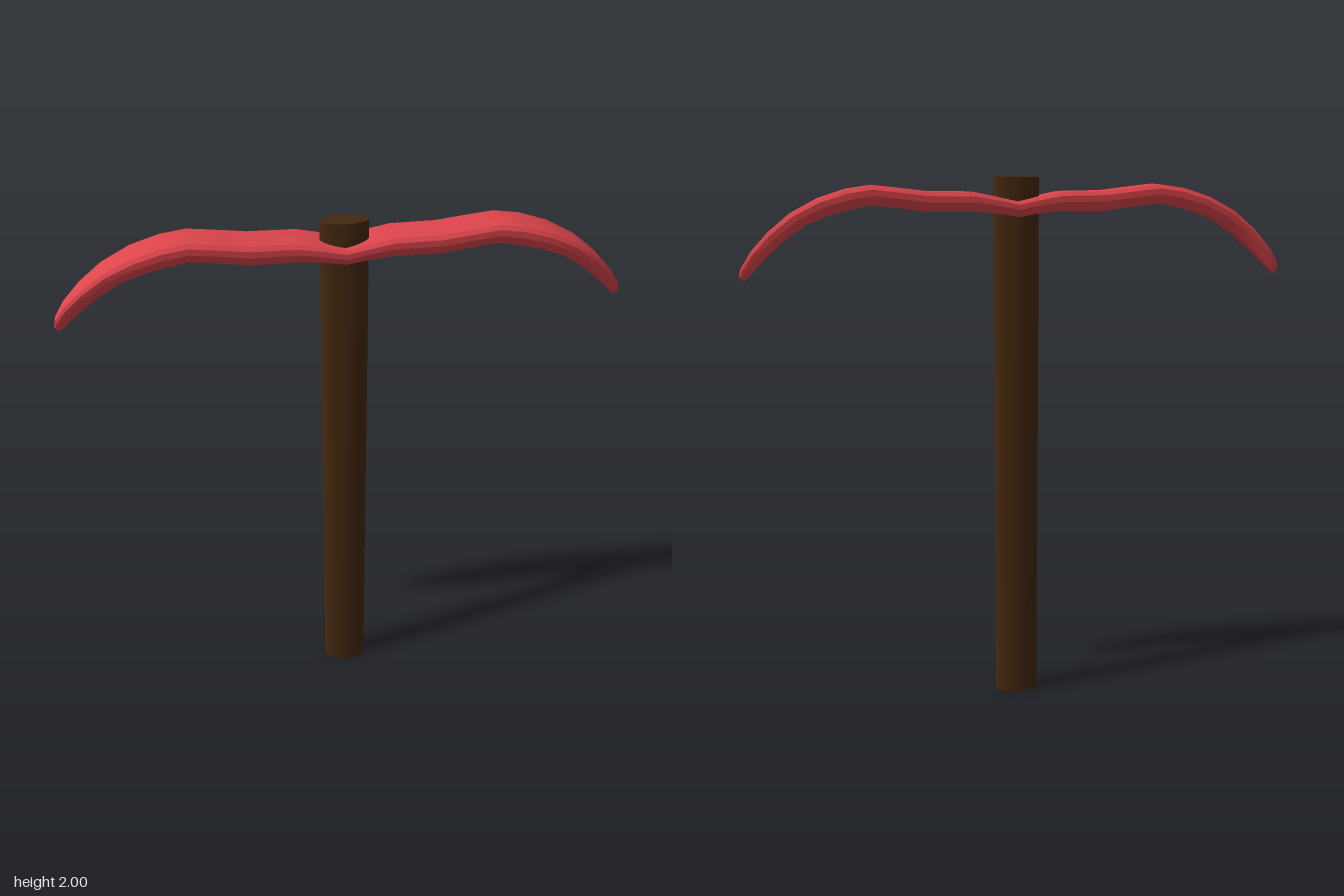
import * as THREE from 'three';
import { toCreasedNormals } from 'three/addons/utils/BufferGeometryUtils.js';

// Half of the pick head, centre to tip: top x, top y, bottom x, bottom y, back z, front z
const STATIONS = [
  [0, 1.915, 0, 1.86, -0.073, 0.07],
  [0.07, 1.93, 0.07, 1.872, -0.073, 0.07],
  [0.16, 1.948, 0.15, 1.88, -0.073, 0.07],
  [0.32, 1.95, 0.32, 1.88, -0.073, 0.07],
  [0.42, 1.962, 0.43, 1.895, -0.073, 0.07],
  [0.52, 1.973, 0.52, 1.905, -0.073, 0.07],
  [0.61, 1.96, 0.59, 1.892, -0.073, 0.07],
  [0.71, 1.928, 0.67, 1.872, -0.072, 0.068],
  [0.81, 1.875, 0.75, 1.84, -0.067, 0.058],
  [0.89, 1.81, 0.83, 1.785, -0.062, 0.043],
  [0.95, 1.745, 0.90, 1.722, -0.056, 0.022],
  [0.985, 1.69, 0.955, 1.665, -0.051, 0],
  [0.992, 1.662, 0.975, 1.645, -0.045, -0.015],
];

// Chamfered section: depth (-1 back .. 1 front), height (0 bottom .. 1 top)
const SECTION = [
  [-0.75, 0], [-1, 0.48], [-1, 0.8], [-0.84, 1],
  [0.84, 1], [1, 0.8], [1, 0.48], [0.75, 0],
];

function headGeometry() {
  const mirrored = STATIONS.slice(1).reverse().map(([a, b, c, ...rest]) => [-a, b, -c, ...rest]);
  const stations = [...mirrored, ...STATIONS];
  const n = SECTION.length;
  const positions = [];
  const index = [];

  for (const [xt, yt, xb, yb, zb, zf] of stations) {
    for (const [d, h] of SECTION) {
      positions.push(
        THREE.MathUtils.lerp(xb, xt, h),
        THREE.MathUtils.lerp(yb, yt, h),
        (zb + zf) / 2 + d * (zf - zb) / 2,
      );
    }
  }
  // Skin between neighbouring sections
  for (let i = 0; i < stations.length - 1; i++) {
    for (let j = 0; j < n; j++) {
      const a = i * n + j;
      const b = i * n + (j + 1) % n;
      index.push(a, b, b + n, a, b + n, a + n);
    }
  }
  // Tip caps
  const last = (stations.length - 1) * n;
  for (let k = 1; k < n - 1; k++) {
    index.push(0, k + 1, k, last, last + k, last + k + 1);
  }

  const geometry = new THREE.BufferGeometry();
  geometry.setAttribute('position', new THREE.Float32BufferAttribute(positions, 3));
  geometry.setIndex(index);
  return toCreasedNormals(geometry, 0.42);
}

export function createModel() {
  const group = new THREE.Group();
  group.name = 'pickaxe';

  // Oval wooden shaft
  const handle = new THREE.Mesh(
    new THREE.CylinderGeometry(1, 1, 2, 32),
    new THREE.MeshStandardMaterial({ color: 0x45280f }),
  );
  handle.geometry.scale(0.083, 1, 0.04).translate(0, 1, 0);
  handle.name = 'handle';

  // Double-ended curved head
  const head = new THREE.Mesh(
    headGeometry(),
    new THREE.MeshStandardMaterial({ color: 0xdc454b }),
  );
  head.name = 'pickHead';

  group.add(handle, head);
  return group;
}
